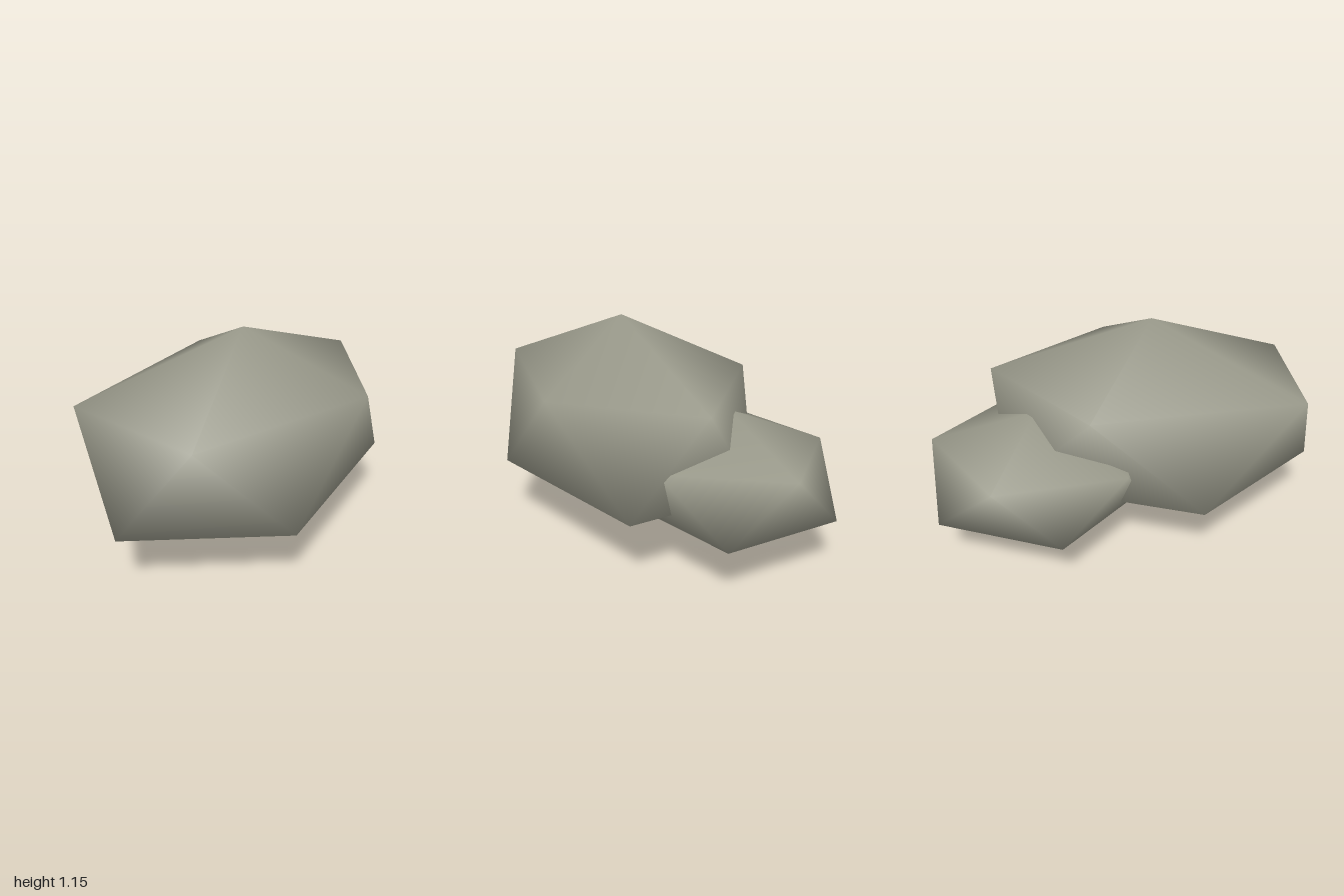
import * as THREE from 'three';

// Twelve-cornered boulder: two poles and two staggered rings of five, listed from +x towards +z
function boulder(name, top, upper, lower, bottom, material) {
  const corners = [top, ...upper, ...lower, bottom];
  const u = k => 1 + (k % 5);
  const l = k => 6 + (k % 5);
  const faces = [];
  for (let k = 0; k < 5; k++) {
    faces.push(0, u(k + 1), u(k)); // cap
    faces.push(u(k + 1), l(k), u(k)); // upper side
    faces.push(u(k + 1), l(k + 1), l(k)); // lower side
    faces.push(11, l(k), l(k + 1)); // base
  }
  const geometry = new THREE.BufferGeometry();
  geometry.setAttribute('position', new THREE.Float32BufferAttribute(corners.flat(), 3));
  geometry.setIndex(faces);
  geometry.computeVertexNormals(); // shared corners give soft shading
  const mesh = new THREE.Mesh(geometry, material);
  mesh.name = name;
  return mesh;
}

export function createModel() {
  const stone = new THREE.MeshStandardMaterial({ color: 0x9b9b8c });
  stone.name = 'stone';

  const group = new THREE.Group();
  group.name = 'rocks';

  group.add(boulder('largeRock',
    [-0.13, 1.155, 0.1],
    [[0.72, 0.855, 0.1], [0.15, 0.855, 0.655], [-0.83, 0.855, 0.44], [-0.89, 0.88, -0.27], [0.15, 0.87, -0.485]],
    [[0.6, 0.355, 0.45], [-0.41, 0.35, 0.675], [-1, 0.36, 0.1], [-0.41, 0.355, -0.48], [0.6, 0.355, -0.25]],
    [-0.13, 0, 0.1], stone));

  group.add(boulder('smallRock',
    [0.45, 0.76, -0.185],
    [[1, 0.585, -0.185], [0.62, 0.59, 0.32], [-0.02, 0.585, 0.13], [-0.03, 0.585, -0.5], [0.61, 0.575, -0.65]],
    [[0.915, 0.28, 0.125], [0.28, 0.28, 0.275], [-0.1, 0.28, -0.185], [0.28, 0.285, -0.68], [0.925, 0.28, -0.505]],
    [0.45, 0.09, -0.185], stone));

  return group;
}
